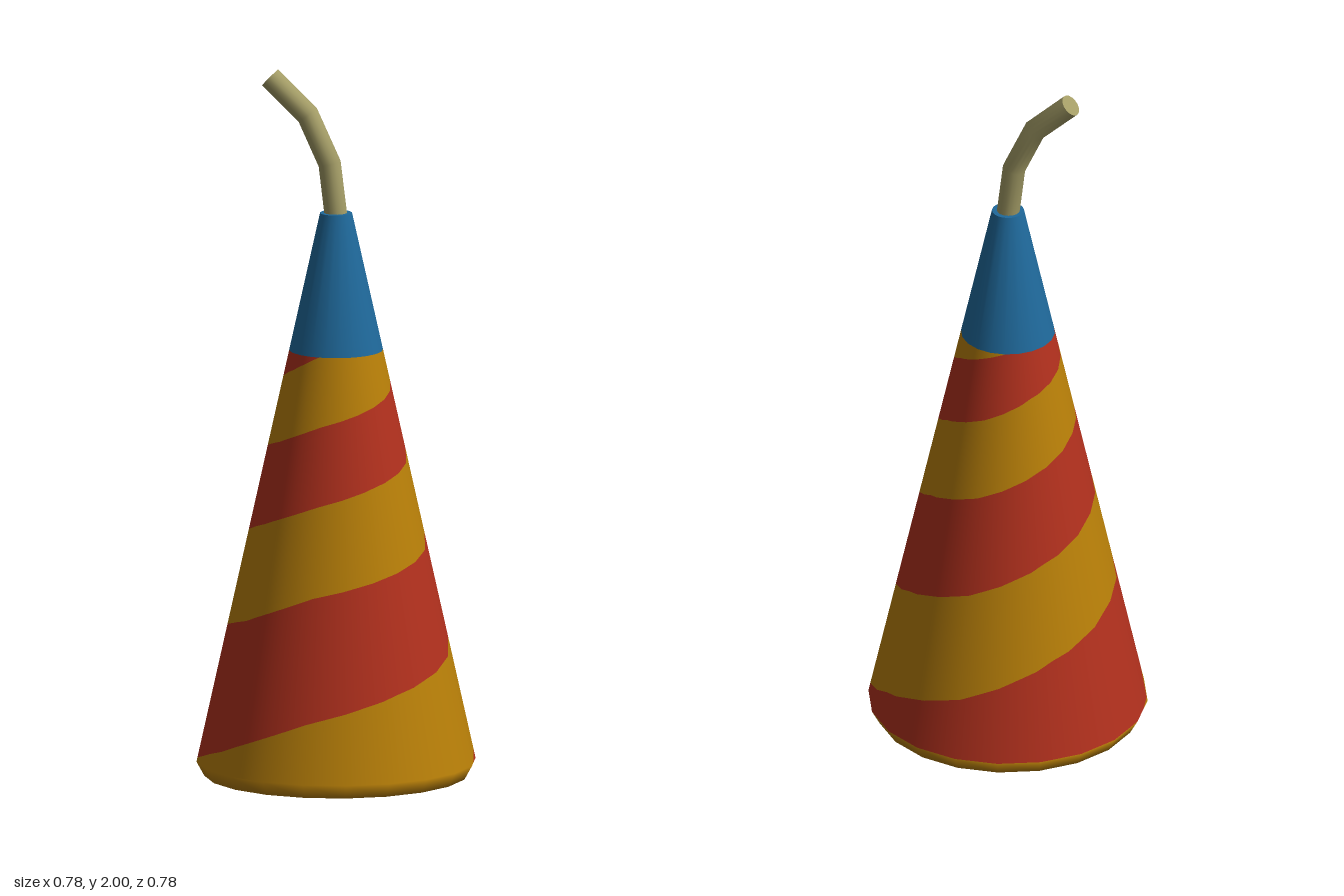
import * as THREE from 'three';

const SIDES = 20, SUB = 8;
const Y0 = 0.04, Y1 = 1.21, Y2 = 1.6, BASE = 0.37, R0 = 0.392, R2 = 0.045;
const SLOPE = (R0 - R2) / (Y2 - Y0);
const radiusAt = (y) => R0 - (y - Y0) * SLOPE;

// Heights of the two stripe edges, one value per eighth of a turn
const RED_START = [0.02, 0.1, 0.205, 0.28, 0.35, 0.44, 0.51, 0.6, 0.68, 0.735, 0.8,
  0.85, 0.895, 0.965, 1.015, 1.075, 1.12, 1.165, 1.22, 1.26, 1.3];
const YELLOW_START = [0.02, 0.13, 0.21, 0.32, 0.41, 0.465, 0.55, 0.6, 0.65, 0.735, 0.79,
  0.86, 0.925, 0.965, 1.02, 1.06, 1.1, 1.155, 1.195, 1.23, 1.26];

function edgeHeight(table, turn) {
  const f = THREE.MathUtils.clamp(turn * 8, 0, table.length - 1);
  const i = Math.min(Math.floor(f), table.length - 2);
  const y = THREE.MathUtils.lerp(table[i], table[i + 1], f - i);
  return THREE.MathUtils.clamp(y, Y0, Y1);
}

// Point on the unit 20-sided outline; column 0 is at -x and runs past +z
function outline(col) {
  const facet = Math.floor(col / SUB), k = col / SUB - facet;
  const corner = (n) => {
    const a = (n / SIDES) * Math.PI * 2;
    return new THREE.Vector2(-Math.cos(a), Math.sin(a));
  };
  return corner(facet).lerp(corner(facet + 1), k);
}

// A strip winding up the cone between two edge-height functions
function spiralStripe(from, to, lower, upper) {
  const perTurn = SIDES * SUB, pos = [], nor = [], index = [];
  const start = Math.round(from * perTurn), end = Math.round(to * perTurn);
  for (let c = start; c <= end; c++) {
    const p = outline(c), t = c / perTurn;
    const lo = lower(t), hi = Math.max(lo, upper(t));
    const n = new THREE.Vector3(p.x, SLOPE * p.length(), p.y).normalize();
    for (const y of [lo, hi]) {
      pos.push(p.x * radiusAt(y), y, p.y * radiusAt(y));
      nor.push(n.x, n.y, n.z);
    }
    const b = (c - start) * 2;
    if (c < end) index.push(b, b + 2, b + 3, b, b + 3, b + 1);
  }
  const g = new THREE.BufferGeometry();
  g.setAttribute('position', new THREE.Float32BufferAttribute(pos, 3));
  g.setAttribute('normal', new THREE.Float32BufferAttribute(nor, 3));
  g.setIndex(index);
  return g;
}

// Bevelled rim whose normals blend from the underside into the cone
function rimGeometry() {
  const g = new THREE.LatheGeometry([new THREE.Vector2(BASE, 0), new THREE.Vector2(R0, Y0)], SIDES);
  const { position, normal } = g.attributes, n = new THREE.Vector3();
  for (let i = 0; i < position.count; i++) {
    n.fromBufferAttribute(position, i).setY(0).normalize();
    n.y = position.getY(i) > Y0 / 2 ? SLOPE : -2;
    n.normalize();
    normal.setXYZ(i, n.x, n.y, n.z);
  }
  return g;
}

export function createModel() {
  const model = new THREE.Group();
  model.name = 'stripedConeFirework';
  const material = (name, color) => {
    const m = new THREE.MeshStandardMaterial({ color });
    m.name = name;
    return m;
  };
  const red = material('red', 0xb1301d);
  const yellow = material('yellow', 0xb87f08);
  const blue = material('blue', 0x1f699b);
  const straw = material('straw', 0xa39c66);
  const add = (name, geometry, mat, parent = model) => {
    const mesh = new THREE.Mesh(geometry, mat);
    mesh.name = name;
    parent.add(mesh);
    return mesh;
  };

  // Base: flat underside and bevelled rim
  add('underside', new THREE.CircleGeometry(BASE, SIDES), yellow).rotation.x = Math.PI / 2;
  add('rim', rimGeometry(), yellow);

  // Body: two interleaved spiral stripes
  add('redStripe', spiralStripe(-0.5, 2.4,
    (t) => edgeHeight(RED_START, t), (t) => edgeHeight(YELLOW_START, t + 0.5)), red);
  add('yellowStripe', spiralStripe(-1, 2,
    (t) => edgeHeight(YELLOW_START, t + 0.5), (t) => edgeHeight(RED_START, t + 1)), yellow);

  // Blue tip with a flat top
  const tip = new THREE.Group();
  tip.name = 'tip';
  model.add(tip);
  const side = new THREE.CylinderGeometry(R2, radiusAt(Y1), Y2 - Y1, SIDES, 1, true);
  add('tipSide', side, blue, tip).position.y = (Y1 + Y2) / 2;
  const top = add('tipTop', new THREE.CircleGeometry(R2, SIDES), blue, tip);
  top.position.y = Y2;
  top.rotation.x = -Math.PI / 2;

  // Bent fuse with a flat end
  const fuse = new THREE.Group();
  fuse.name = 'fuse';
  model.add(fuse);
  const path = new THREE.CatmullRomCurve3([
    [0, 1.59], [-0.02, 1.745], [-0.078, 1.87], [-0.19, 1.977],
  ].map(([x, y]) => new THREE.Vector3(x, y, 0)));
  add('fuseCord', new THREE.TubeGeometry(path, 3, 0.032, 16), straw, fuse);
  const end = add('fuseEnd', new THREE.CircleGeometry(0.032, 16), straw, fuse);
  end.position.copy(path.getPointAt(1));
  end.quaternion.setFromUnitVectors(new THREE.Vector3(0, 0, 1), path.getTangentAt(1));

  return model;
}
